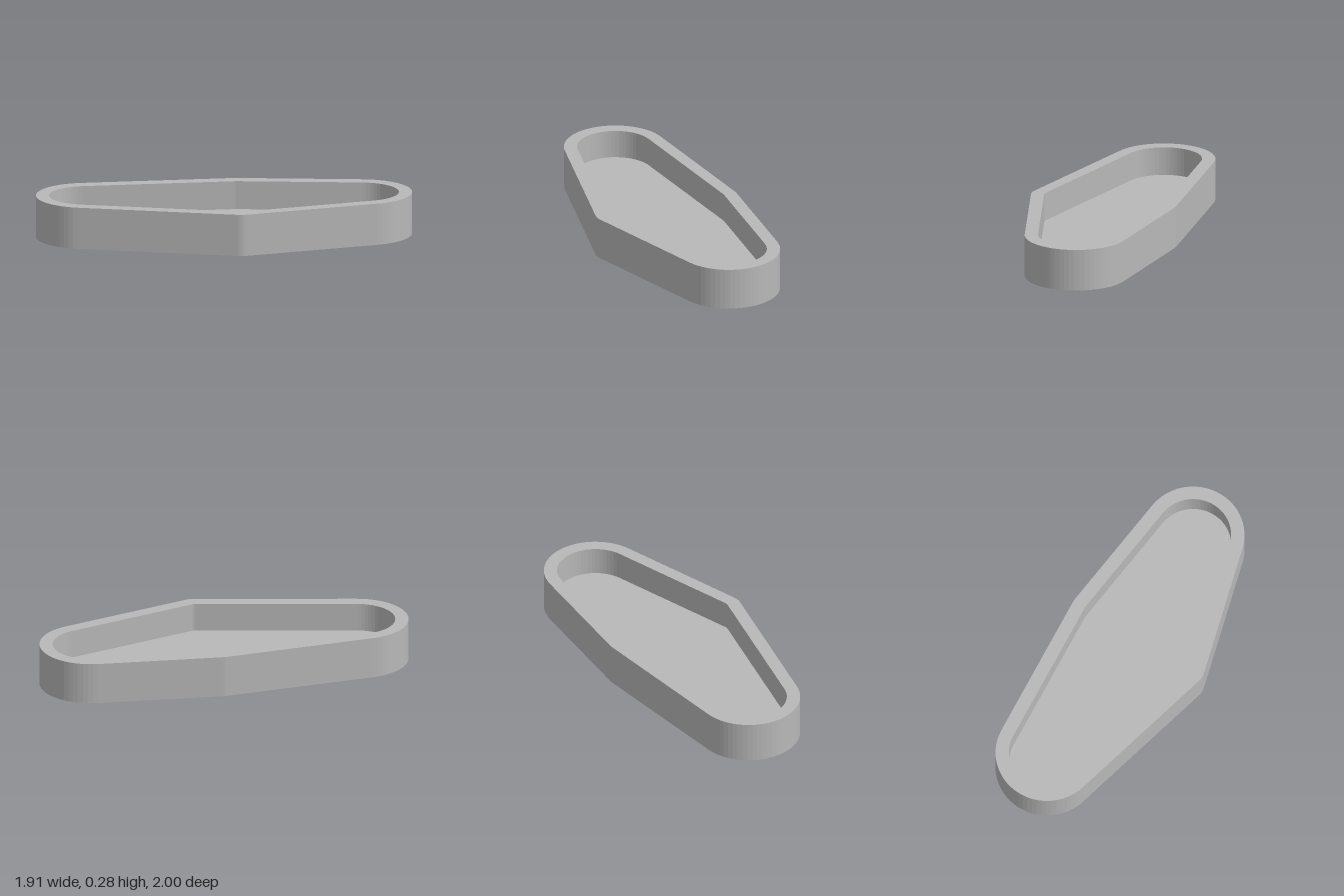
import * as THREE from 'three';

const HEIGHT = 0.28, FLOOR = 0.09, WALL = 0.088;

// Corner circles of the outline, counter-clockwise: x, -z, radius
const CORNERS = [
  [0.617, 0.66, 0.34],
  [-0.14, 0.26, 0.14],
  [-0.617, -0.66, 0.34],
  [0.383, -0.239, 0.14],
];

// Points round the corner arcs, which are joined by their common tangents
function outline(inset) {
  const n = CORNERS.length;
  const tangent = CORNERS.map(([x, y, r], i) => {
    const [x2, y2, r2] = CORNERS[(i + 1) % n];
    const dx = x2 - x, dy = y2 - y;
    return Math.atan2(dy, dx) - Math.acos((r - r2) / Math.hypot(dx, dy));
  });
  const points = [];
  CORNERS.forEach(([x, y, r], i) => {
    const start = tangent[(i + n - 1) % n];
    const turn = (tangent[i] - start + 4 * Math.PI) % (2 * Math.PI);
    const steps = Math.ceil(turn / 0.1);
    for (let k = 0; k <= steps; k++) {
      const a = start + turn * k / steps;
      points.push(new THREE.Vector2(x + (r - inset) * Math.cos(a), y + (r - inset) * Math.sin(a)));
    }
  });
  return points;
}

// Upright wall along an outline, facing outward or inward
function wallGeometry(points, y0, y1, inward) {
  const positions = [];
  points.forEach((p, i) => {
    const q = points[(i + 1) % points.length];
    const [a, b] = inward ? [q, p] : [p, q];
    positions.push(
      a.x, y0, -a.y, b.x, y0, -b.y, b.x, y1, -b.y,
      a.x, y0, -a.y, b.x, y1, -b.y, a.x, y1, -a.y);
  });
  const geometry = new THREE.BufferGeometry();
  geometry.setAttribute('position', new THREE.Float32BufferAttribute(positions, 3));
  geometry.computeVertexNormals();
  return geometry;
}

// Level face at height y, facing up or down
function levelGeometry(shape, y, down) {
  const geometry = new THREE.ShapeGeometry(shape);
  if (down) {
    geometry.setIndex(Array.from(geometry.index.array).reverse());
    geometry.computeVertexNormals();
  }
  return geometry.rotateX(-Math.PI / 2).translate(0, y, 0);
}

export function createModel() {
  const model = new THREE.Group();
  model.name = 'tray';
  const grey = new THREE.MeshStandardMaterial({ color: 0xb8b8b8 });
  grey.name = 'grey';
  const add = (name, geometry) => {
    const mesh = new THREE.Mesh(geometry, grey);
    mesh.name = name;
    model.add(mesh);
  };

  const outer = outline(0), inner = outline(WALL);
  const rim = new THREE.Shape(outer);
  rim.holes.push(new THREE.Path(inner));

  add('outerWall', wallGeometry(outer, 0, HEIGHT, false));
  add('innerWall', wallGeometry(inner, FLOOR, HEIGHT, true));
  add('rim', levelGeometry(rim, HEIGHT, false));
  add('floor', levelGeometry(new THREE.Shape(inner), FLOOR, false));
  add('underside', levelGeometry(new THREE.Shape(outer), 0, true));
  return model;
}
